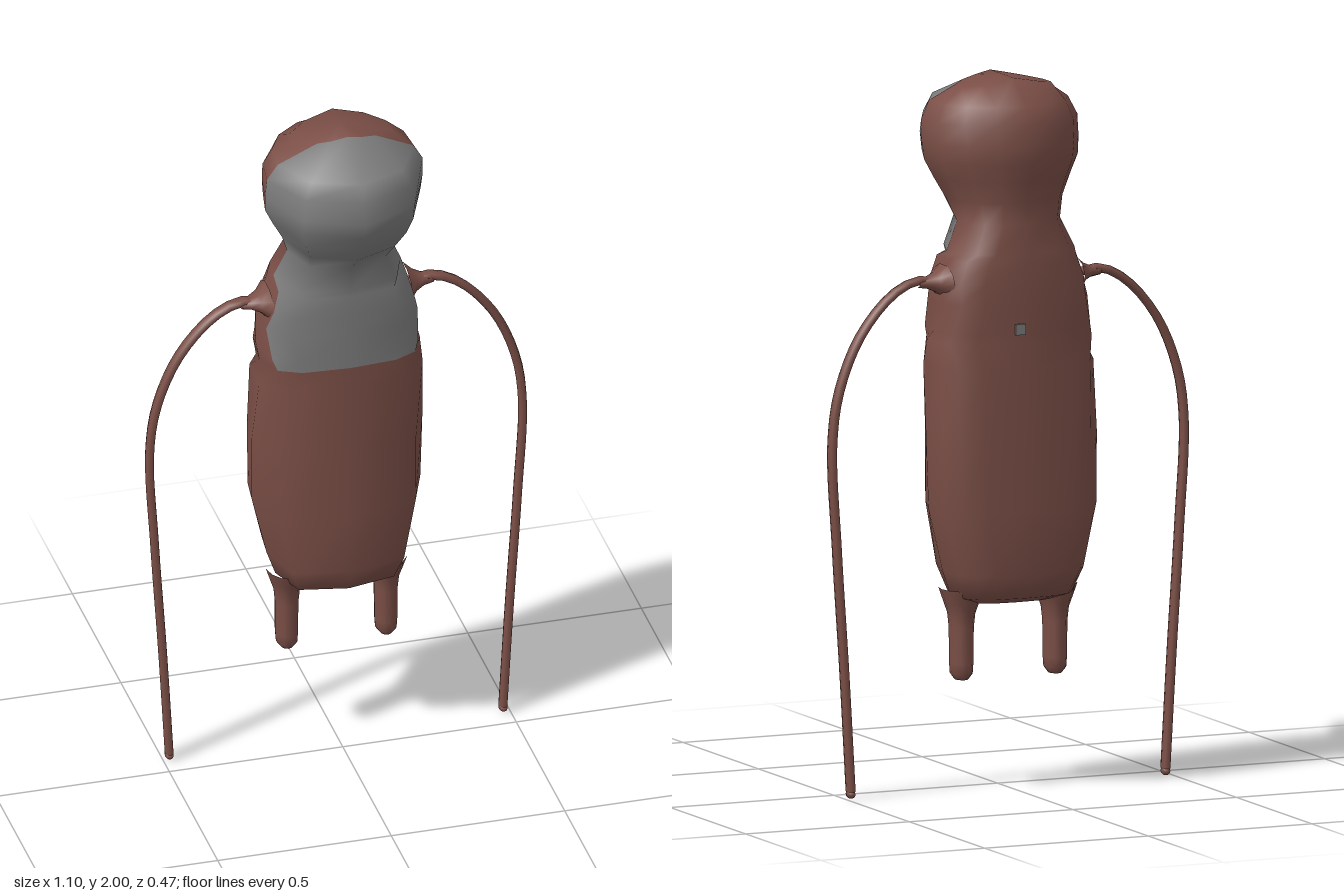
import * as THREE from 'three';

const brown = new THREE.MeshStandardMaterial({ color: 0x7a4e46 });
brown.name = 'brown fur';
const grey = new THREE.MeshStandardMaterial({ color: 0x7b7b7b });
grey.name = 'grey face';

const AXIS_Z = -0.07; // depth of the limbs

// Body rings: y, half width, front z, back z, z of the colour seam, roundness (1 = ellipse)
const RINGS = [
  [0.53, 0.13, 0.0, -0.14, -0.07, 0.75],
  [0.55, 0.175, 0.065, -0.2, -0.07, 0.7],
  [0.62, 0.2, 0.094, -0.234, -0.07, 0.65],
  [0.8, 0.243, 0.09, -0.23, -0.07, 0.65],
  [1.0, 0.246, 0.086, -0.224, -0.06, 0.65],
  [1.2, 0.238, 0.082, -0.218, -0.02, 0.65],
  [1.27, 0.232, 0.08, -0.216, 0.04, 0.65],
  [1.3, 0.23, 0.08, -0.215, 0.025, 0.65],
  [1.38, 0.222, 0.08, -0.213, -0.01, 0.65],
  [1.44, 0.212, 0.08, -0.212, 0.01, 0.66],
  [1.5, 0.192, 0.08, -0.208, 0.0, 0.7],
  [1.52, 0.183, 0.08, -0.206, -0.06, 0.72],
  [1.6, 0.147, 0.09, -0.196, -0.05, 0.85],
  [1.66, 0.168, 0.155, -0.198, -0.025, 0.95],
  [1.72, 0.2, 0.205, -0.211, -0.01, 1],
  [1.77, 0.224, 0.223, -0.22, 0.0, 1],
  [1.82, 0.227, 0.237, -0.226, 0.01, 1],
  [1.88, 0.225, 0.218, -0.213, 0.02, 1],
  [1.93, 0.198, 0.198, -0.195, 0.03, 1],
  [2.0, 0.145, 0.05, -0.11, 0.035, 1],
];
const FRONT = 4, BACK = 8, N = FRONT + BACK, FACE_START = 1.26;

// Loft whose front and back arcs meet on the colour seam
function bodyGeometry() {
  const pos = [], dark = [], light = [];
  const pow = (v, e) => Math.sign(v) * Math.abs(v) ** e;
  for (const [y, w, zf, zb, seam, e] of RINGS) {
    const zc = (zf + zb) / 2, d = (zf - zb) / 2;
    const t0 = Math.asin(pow((seam - zc) / d, 1 / e));
    for (let j = 0; j < N; j++) {
      const t = j < FRONT
        ? t0 + (Math.PI - 2 * t0) * j / FRONT
        : Math.PI - t0 + (Math.PI + 2 * t0) * (j - FRONT) / BACK;
      const x = w * pow(Math.cos(t), e);
      const drop = y > 1.95 ? 0.2 * Math.abs(x) : 0; // gently peaked crown
      pos.push(x, y - drop, zc + d * pow(Math.sin(t), e));
    }
  }
  const last = RINGS.length - 1, low = pos.length / 3, top = low + 1;
  pos.push(0, 0.53, -0.07, 0, 2.0, -0.03);
  for (let j = 0; j < N; j++) {
    const k = (j + 1) % N;
    for (let i = 0; i < last; i++) {
      const a = i * N + j, b = i * N + k, c = a + N, d = b + N;
      const list = j < FRONT && RINGS[i][0] > FACE_START ? light : dark;
      list.push(a, c, b, b, c, d);
    }
    dark.push(low, j, k, top, last * N + k, last * N + j);
  }
  const geo = new THREE.BufferGeometry();
  geo.setAttribute('position', new THREE.Float32BufferAttribute(pos, 3));
  geo.setIndex([...dark, ...light]);
  geo.addGroup(0, dark.length, 0);
  geo.addGroup(dark.length, light.length, 1);
  geo.computeVertexNormals();
  return geo;
}

function add(parent, name, geo, mat) {
  const mesh = new THREE.Mesh(geo, mat);
  mesh.name = name;
  parent.add(mesh);
  return mesh;
}

const lathe = (pts, n) => new THREE.LatheGeometry(pts.map(p => new THREE.Vector2(...p)), n);

export function createModel() {
  const model = new THREE.Group();
  add(model, 'headAndTorso', bodyGeometry(), [brown, grey]);

  for (const s of [1, -1]) {
    const side = s > 0 ? 'left' : 'right';

    // Long arm: arched shoulder, then a straight drop
    const arm = new THREE.Group();
    arm.name = side + 'Arm';
    arm.position.z = AXIS_Z;
    arm.scale.z = 1.6;
    model.add(arm);
    const path = new THREE.CatmullRomCurve3([
      [0.19, 1.425], [0.27, 1.443], [0.35, 1.41], [0.45, 1.3], [0.515, 1.15],
      [0.537, 1.0], [0.523, 0.7], [0.5, 0.35], [0.481, 0.02],
    ].map(([x, y]) => new THREE.Vector3(s * x, y, 0)));
    add(arm, 'armTube', new THREE.TubeGeometry(path, 40, 0.0125, 8), brown);
    add(arm, 'armTip', new THREE.SphereGeometry(0.0125, 8, 6), brown).position.set(s * 0.481, 0.0125, 0);

    // Flared shoulder root
    const root = add(arm, 'shoulder', lathe([[0.05, 0], [0.028, 0.025], [0.017, 0.05], [0.012, 0.08]], 10), brown);
    root.position.set(s * 0.198, 1.435, 0);
    root.rotation.z = -s * Math.PI / 2;

    // Short leg blending up into the body
    const leg = add(model, side + 'Leg', lathe([
      [0, 0.31], [0.018, 0.313], [0.03, 0.33], [0.032, 0.36],
      [0.033, 0.46], [0.037, 0.5], [0.047, 0.53], [0.06, 0.57],
    ], 12), brown);
    leg.position.set(s * 0.143, 0, AXIS_Z);
    leg.scale.z = 1.3;
  }

  // Small grey fleck on the back
  add(model, 'backFleck', new THREE.BoxGeometry(0.03, 0.03, 0.008), grey).position.set(0.03, 1.31, -0.217);
  return model;
}
